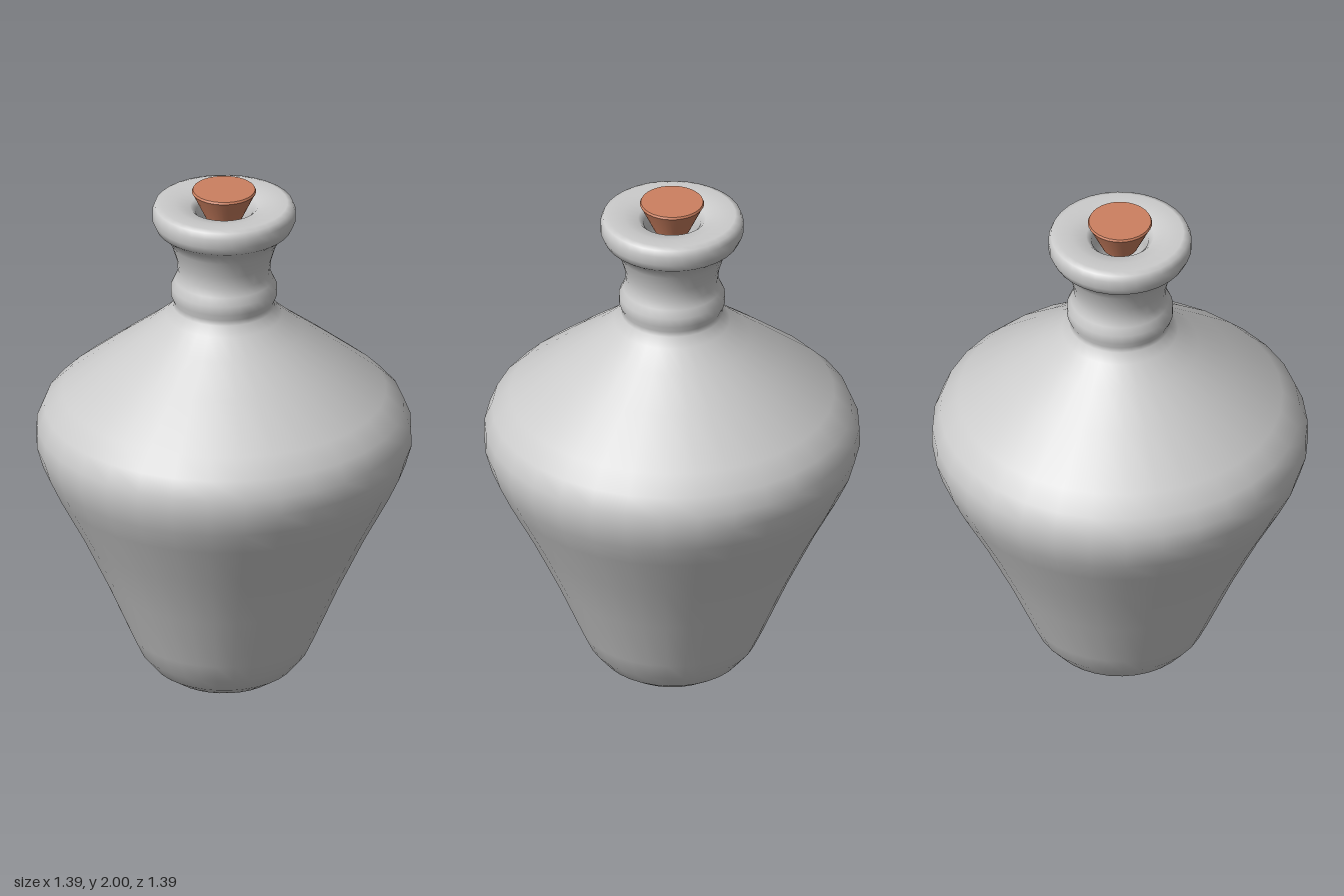
import * as THREE from 'three';
import { toCreasedNormals } from 'three/addons/utils/BufferGeometryUtils.js';

const lathe = (points, segments) =>
  new THREE.LatheGeometry(points.map(([r, y]) => new THREE.Vector2(r, y)), segments);

export function createModel() {
  const group = new THREE.Group();

  // Bottle: base, tapering belly, shoulder, neck ring, flared lip and mouth
  const profile = [
    [0, 0], [0.1, 0.015], [0.2, 0.035], [0.26, 0.075], [0.31, 0.135], [0.345, 0.21],
    [0.44, 0.43], [0.54, 0.64], [0.63, 0.81], [0.672, 0.9], [0.695, 0.98], [0.693, 1.05],
    [0.665, 1.12], [0.6, 1.185], [0.42, 1.33], [0.29, 1.43], [0.215, 1.495], [0.188, 1.53],
    [0.185, 1.55], [0.196, 1.575], [0.196, 1.61], [0.182, 1.64], [0.17, 1.67],
    [0.175, 1.72], [0.195, 1.785], [0.22, 1.825], [0.25, 1.848], [0.265, 1.88],
    [0.265, 1.915], [0.256, 1.938], [0.235, 1.945], [0.18, 1.942], [0.125, 1.93],
    [0.105, 1.91], [0.1, 1.86], [0.1, 1.7], [0, 1.69],
  ];
  const bottle = new THREE.Mesh(
    lathe(profile, 32),
    new THREE.MeshStandardMaterial({ color: 0xcccccc, side: THREE.DoubleSide })
  );
  bottle.name = 'bottle';
  group.add(bottle);

  // Tapered stopper with a slightly bevelled top
  const stopperProfile = [[0, 1.88], [0.064, 1.88], [0.112, 1.98], [0.119, 1.992], [0.115, 2], [0, 2]];
  const stopper = new THREE.Mesh(
    toCreasedNormals(lathe(stopperProfile, 32), 0.6),
    new THREE.MeshStandardMaterial({ color: 0xcc8060 })
  );
  stopper.name = 'stopper';
  group.add(stopper);

  return group;
}
